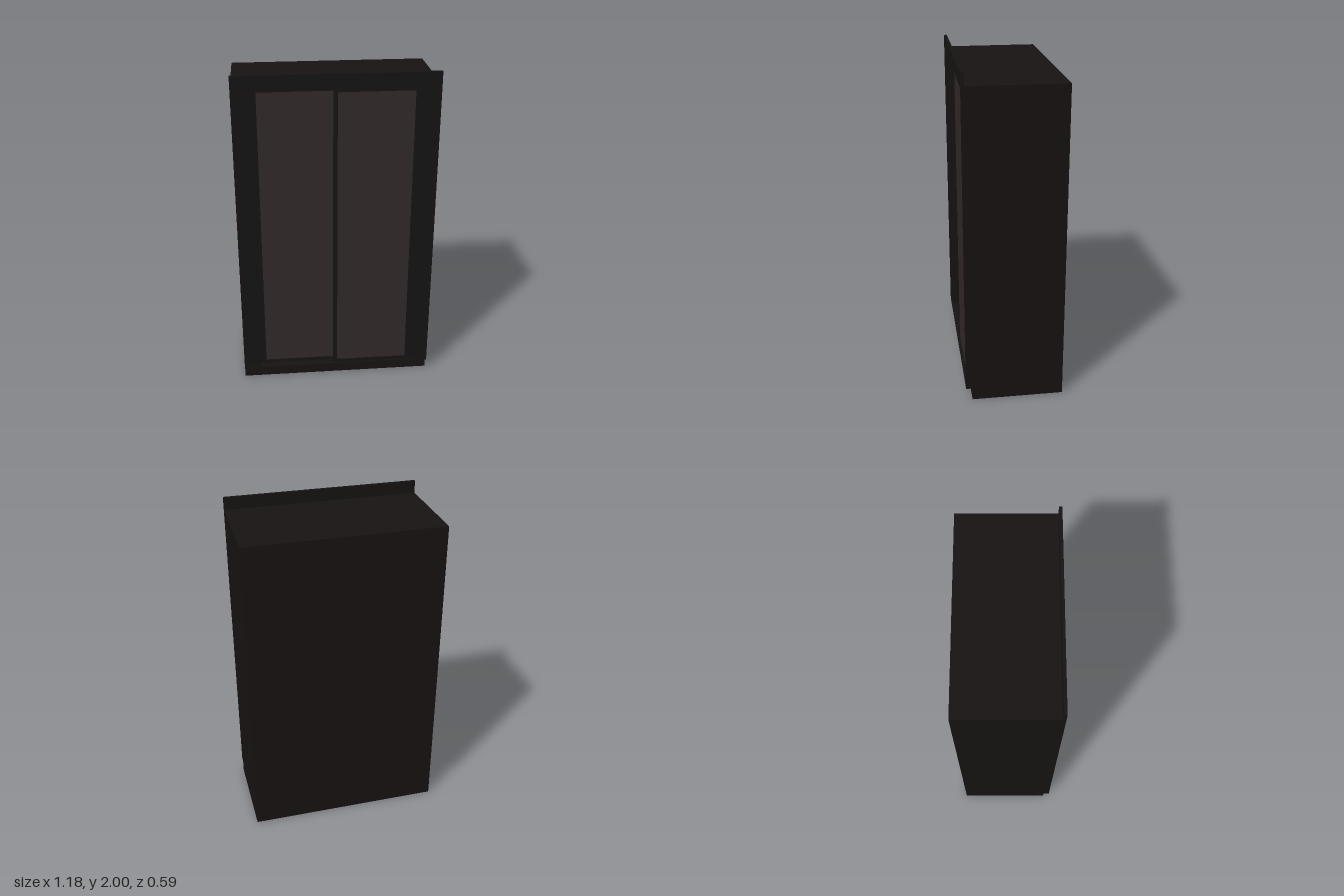
import * as THREE from 'three';

const W = 1.18, D = 0.59, BASE = 0.077, TOP = 1.925, T = 0.02;
const FRONT = D / 2;

export function createModel() {
  const model = new THREE.Group();
  model.name = 'wardrobe';
  const wood = new THREE.MeshStandardMaterial({ color: 0x171312 });
  const trim = new THREE.MeshStandardMaterial({ color: 0x161514 });
  const panel = new THREE.MeshStandardMaterial({ color: 0x342a2a });

  // Box given by its limits on each axis
  function box(name, [x0, x1], [y0, y1], [z0, z1], material, parent = model) {
    const mesh = new THREE.Mesh(new THREE.BoxGeometry(x1 - x0, y1 - y0, z1 - z0), material);
    mesh.position.set((x0 + x1) / 2, (y0 + y1) / 2, (z0 + z1) / 2);
    mesh.name = name;
    parent.add(mesh);
  }

  const full = [-W / 2, W / 2];
  const inner = [-W / 2 + T, W / 2 - T];
  const innerY = [BASE + T * 0.6, TOP - T * 0.6];

  // Recessed plinth and crown board
  box('plinth', full, [0, BASE], [-FRONT, 0.257], wood);
  box('crownBoard', full, [TOP, 2], [FRONT - 0.018, FRONT], trim);

  // Carcass
  box('bottomPanel', inner, [BASE, innerY[0]], [-FRONT, FRONT], wood);
  box('topPanel', inner, [innerY[1], TOP], [-FRONT, FRONT], wood);
  box('backPanel', inner, innerY, [-FRONT, -FRONT + 0.012], wood);
  for (const s of [-1, 1]) {
    const span = (a, b) => (s > 0 ? [a, b] : [-b, -a]);
    const side = s > 0 ? 'left' : 'right';
    box(side + 'SidePanel', span(W / 2 - T, W / 2), [BASE, TOP], [-FRONT, FRONT], wood);
    // Fixed upright beside the doors
    box(side + 'Upright', span(0.488, W / 2 - T), innerY, [FRONT - 0.08, FRONT - 0.008], trim);
  }

  // Sliding door: a thin frame around a flat panel
  function door(name, [x0, x1], [g0, g1], z) {
    const group = new THREE.Group();
    group.name = name;
    const depth = [z - 0.028, z], [y0, y1] = innerY;
    const p0 = 0.11, p1 = 1.893;
    box('outerStile', [x0, g0], [y0, y1], depth, trim, group);
    box('innerStile', [g1, x1], [y0, y1], depth, trim, group);
    box('bottomRail', [g0, g1], [y0, p0], depth, trim, group);
    box('topRail', [g0, g1], [p1, y1], depth, trim, group);
    box('doorPanel', [g0, g1], [p0, p1], [z - 0.02, z - 0.005], panel, group);
    model.add(group);
  }
  door('rearDoor', [-0.488, 0.018], [-0.45, -0.005], FRONT - 0.045);
  door('frontDoor', [-0.018, 0.488], [0.005, 0.447], FRONT - 0.01);

  return model;
}
